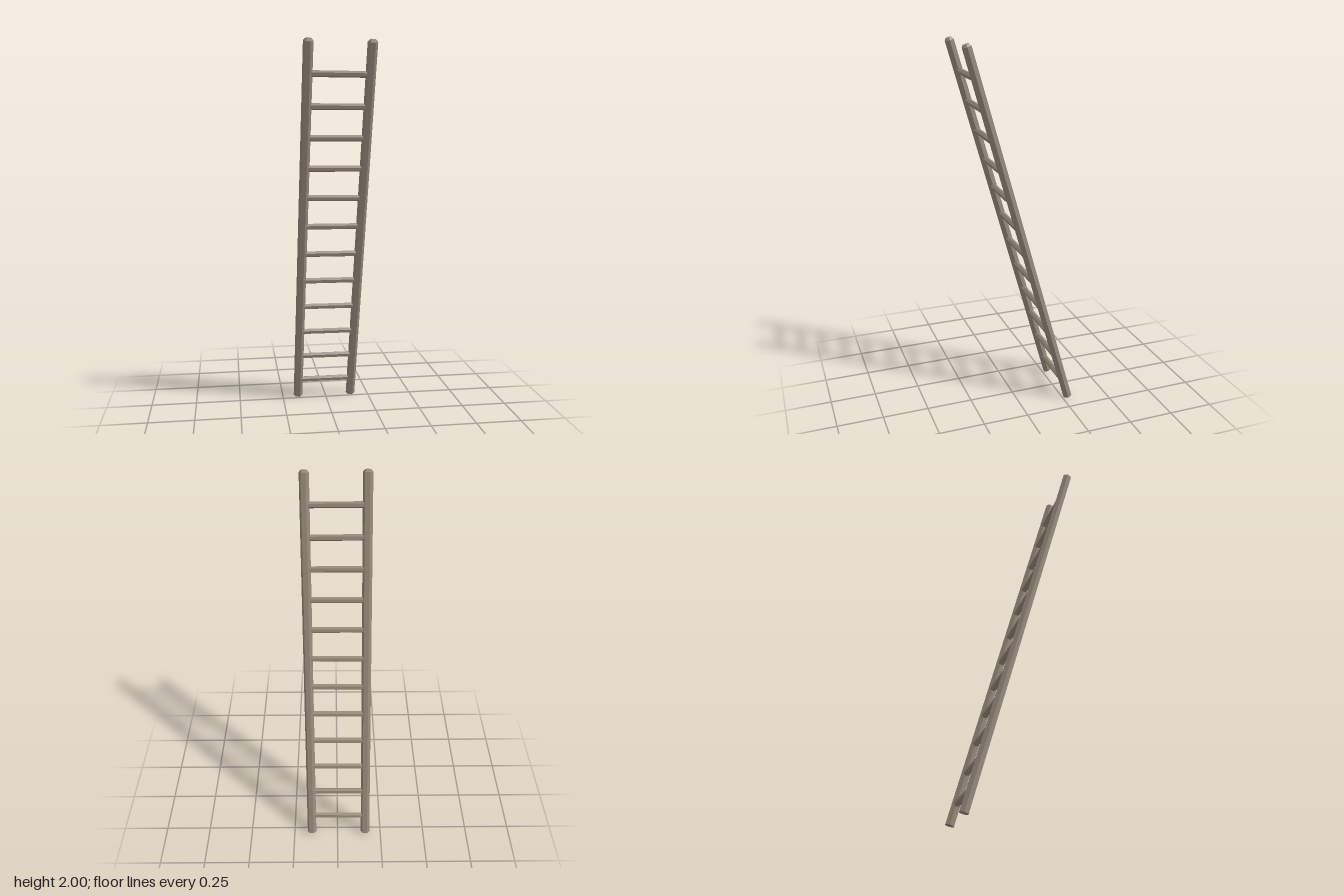
import * as THREE from 'three';

const V = (x, y, z) => new THREE.Vector3(x, y, z);
const UP = V(0, 1, 0);
const RUNGS = 12;

export function createModel() {
  const ladder = new THREE.Group();
  ladder.name = 'ladder';
  const wood = new THREE.MeshStandardMaterial({ color: 0x938878, flatShading: true });

  // Six-sided pole between two points, optionally with a chamfered far end
  function pole(name, from, to, radius, phase, chamfer = 0) {
    const axis = to.clone().sub(from);
    const length = axis.length();
    const profile = [[0, 0], [radius, 0], [radius, length - chamfer]];
    if (chamfer) profile.push([radius * 0.62, length]);
    profile.push([0, length]);
    const geometry = new THREE.LatheGeometry(
      profile.map(([r, y]) => new THREE.Vector2(r, y)), 6, THREE.MathUtils.degToRad(phase));
    const mesh = new THREE.Mesh(geometry, wood);
    mesh.name = name;
    mesh.position.copy(from);
    mesh.quaternion.setFromUnitVectors(UP, axis.normalize());
    ladder.add(mesh);
  }

  // Leaning side rails, very slightly skewed
  const rightRail = [V(-0.161, 0.007, -0.284), V(-0.152, 1.995, 0.281)];
  const leftRail = [V(0.149, 0.007, -0.281), V(0.16, 1.992, 0.284)];
  pole('rightRail', ...rightRail, 0.0255, 22, 0.012);
  pole('leftRail', ...leftRail, 0.0255, 22, 0.012);

  // Evenly spaced rungs running from rail to rail
  for (let i = 0; i < RUNGS; i++) {
    const t = THREE.MathUtils.lerp(0.053, 0.918, i / (RUNGS - 1));
    const a = rightRail[0].clone().lerp(rightRail[1], t);
    const b = leftRail[0].clone().lerp(leftRail[1], t);
    pole(`rung${i + 1}`, a, b, 0.0165, 43);
  }
  return ladder;
}
